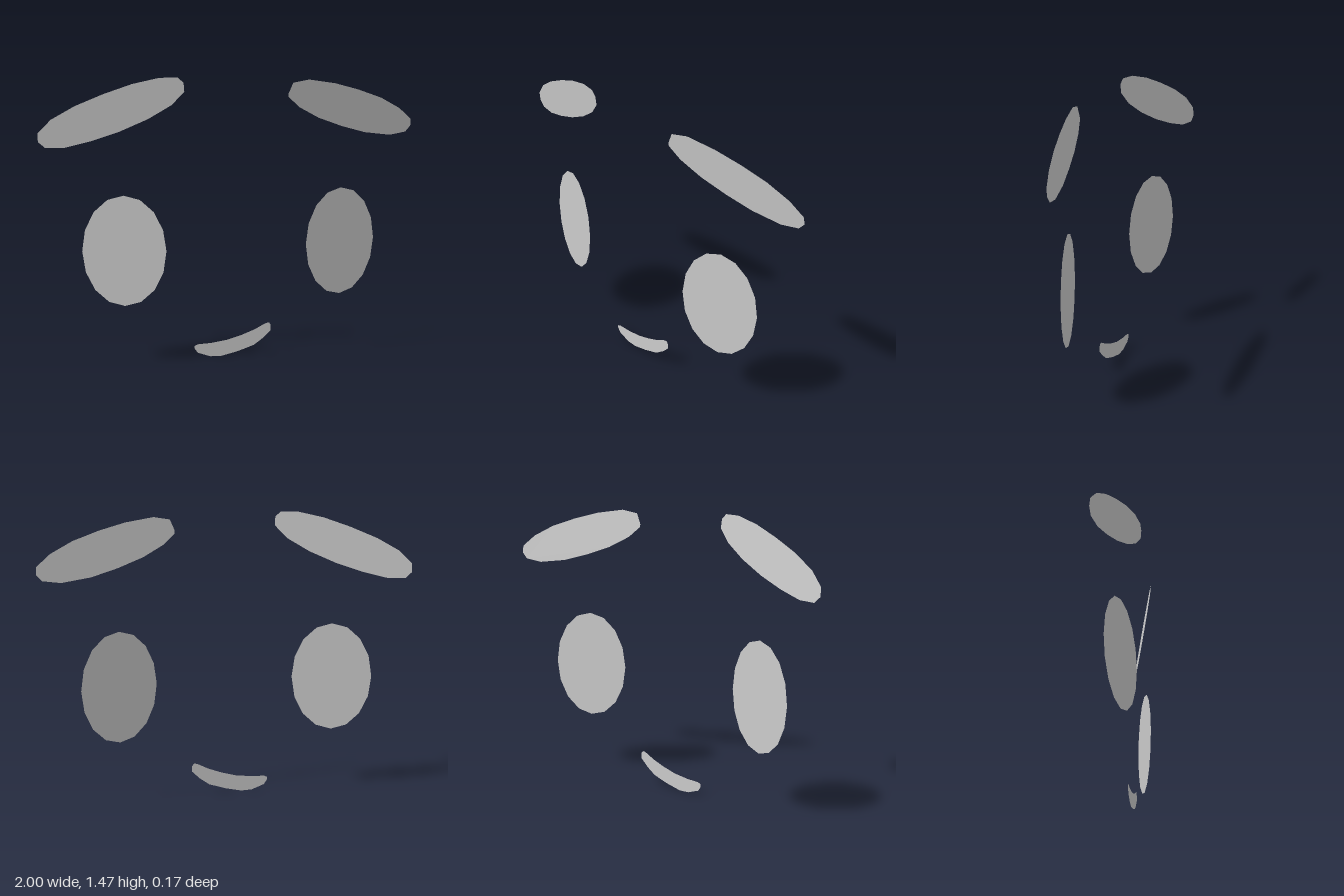
import * as THREE from 'three';

const material = new THREE.MeshStandardMaterial({ color: 0xcccccc, flatShading: true, side: THREE.DoubleSide });

// Flat panel from a front outline; depth(x, y) gives the plane it lies in
function panel(name, outline, depth) {
  const shape = new THREE.Shape(outline.map(([x, y]) => new THREE.Vector2(x, y)));
  const geometry = new THREE.ShapeGeometry(shape);
  const p = geometry.attributes.position;
  for (let i = 0; i < p.count; i++) p.setZ(i, depth(p.getX(i), p.getY(i)));
  geometry.computeVertexNormals();
  const mesh = new THREE.Mesh(geometry, material);
  mesh.name = name;
  return mesh;
}

// Sixteen-sided oval outline
function oval(cx, cy, rx, ry, sides = 16) {
  return Array.from({ length: sides }, (_, i) => {
    const a = (i / sides) * Math.PI * 2;
    return [cx + rx * Math.cos(a), cy + ry * Math.sin(a)];
  });
}

export function createModel() {
  const group = new THREE.Group();
  group.name = 'face';

  // Eyes: upright ovals turned slightly outwards
  for (const [name, cx, side] of [['leftEye', 0.573, 1], ['rightEye', -0.587, -1]]) {
    group.add(panel(name, oval(cx, 0.595, 0.208, 0.287), (x) => 0.015 - side * 0.265 * (x - cx)));
  }

  // Brows: long slanted ovals, turned outwards and tipped a little forwards
  const leftBrow = [
    [0.26, 1.385], [0.285, 1.442], [0.375, 1.456], [0.53, 1.432], [0.67, 1.395], [0.81, 1.347],
    [0.925, 1.288], [0.998, 1.227], [1, 1.19], [0.97, 1.158], [0.875, 1.145], [0.72, 1.166],
    [0.58, 1.205], [0.44, 1.255], [0.325, 1.315], [0.262, 1.37],
  ];
  const rightBrow = [
    [-1, 1.2], [-0.935, 1.268], [-0.82, 1.335], [-0.68, 1.395], [-0.54, 1.445], [-0.405, 1.476],
    [-0.315, 1.476], [-0.287, 1.45], [-0.283, 1.405], [-0.345, 1.338], [-0.46, 1.268],
    [-0.6, 1.205], [-0.74, 1.157], [-0.87, 1.124], [-0.965, 1.124], [-1, 1.155],
  ];
  group.add(panel('leftBrow', leftBrow, (x, y) => -0.197 * (x - 0.63) + 0.11 * (y - 1.3)));
  group.add(panel('rightBrow', rightBrow, (x, y) => 0.197 * (x + 0.64) + 0.11 * (y - 1.3)));

  // Mouth: lopsided crescent
  const mouth = [
    [-0.222, 0.055], [-0.205, 0.03], [-0.137, 0.006], [-0.078, 0.004], [0.013, 0.024],
    [0.1, 0.052], [0.152, 0.088], [0.193, 0.127], [0.193, 0.157], [0.183, 0.17], [0.165, 0.167],
    [0.104, 0.137], [0.035, 0.112], [-0.045, 0.09], [-0.13, 0.079], [-0.205, 0.076], [-0.222, 0.068],
  ];
  group.add(panel('mouth', mouth, () => 0.01));

  return group;
}
